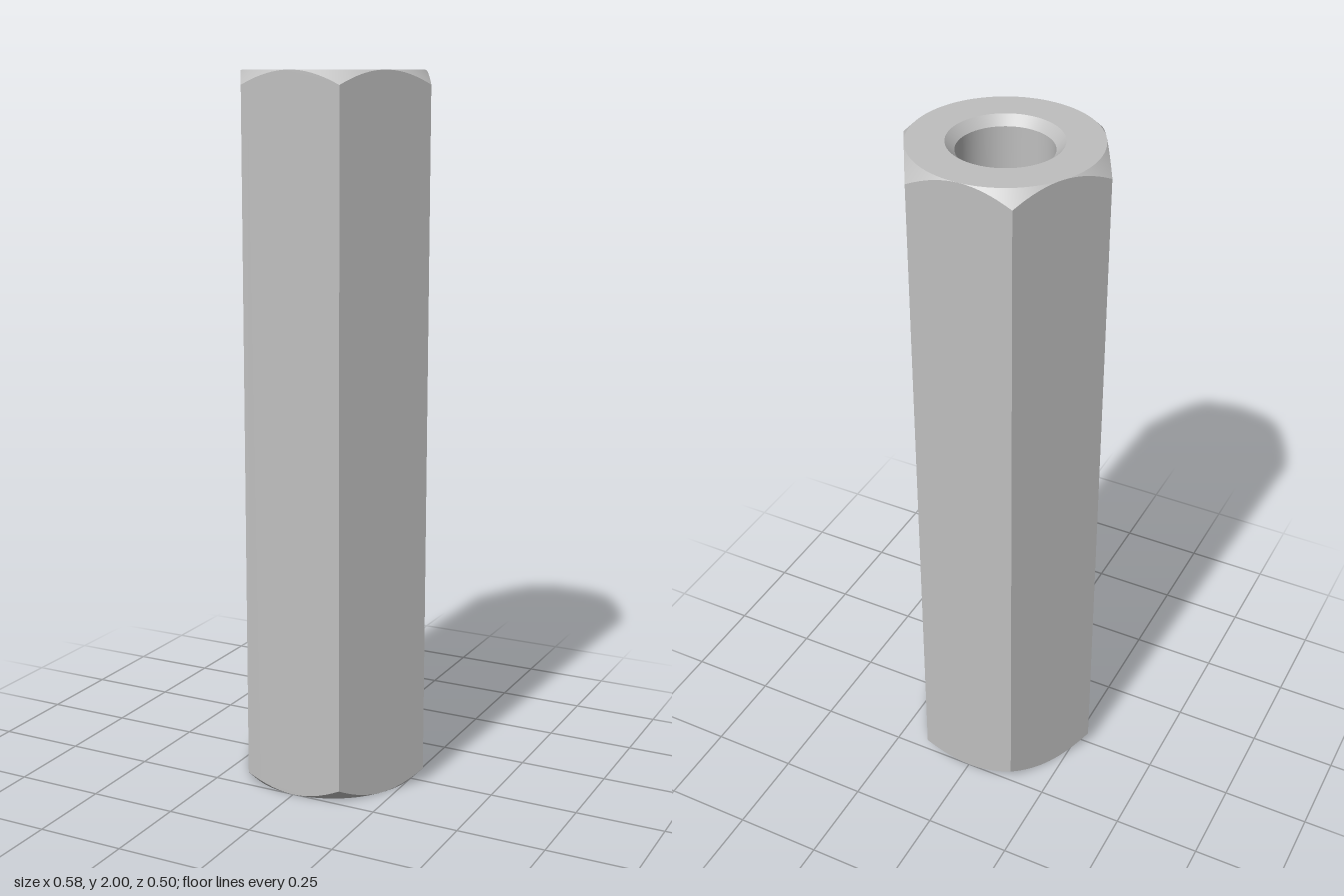
import * as THREE from 'three';

const LENGTH = 2;
const APOTHEM = 0.25;      // half the width across the flats
const BORE = 0.126;
const COUNTERSINK = 0.15;
const STEPS = 16;          // divisions along each of the six sides
const MID = LENGTH / 2;

// Angle across one side, from -30 to +30 degrees
const sideAngle = (i) => (i / STEPS - 0.5) * Math.PI / 3;
const flatX = (a) => APOTHEM * Math.tan(a);
// Height above the middle where the 45 degree chamfer cone meets the flat
const edgeY = (a) => MID - (APOTHEM / Math.cos(a) - APOTHEM);

// Flat side with curved top and bottom edges, facing +z
function flatGeometry() {
  const points = [];
  for (let i = 0; i <= STEPS; i++) points.push(new THREE.Vector2(flatX(sideAngle(i)), -edgeY(sideAngle(i))));
  for (let i = STEPS; i >= 0; i--) points.push(new THREE.Vector2(flatX(sideAngle(i)), edgeY(sideAngle(i))));
  return new THREE.ShapeGeometry(new THREE.Shape(points)).translate(0, 0, APOTHEM);
}

// Piece of the chamfer cone between the end circle and one flat
function chamferGeometry() {
  const geometry = new THREE.PlaneGeometry(1, 1, STEPS, 1);
  const position = geometry.attributes.position;
  const normal = geometry.attributes.normal;
  for (let i = 0; i <= STEPS; i++) {
    const a = sideAngle(i);
    const lower = i + STEPS + 1;
    position.setXYZ(i, APOTHEM * Math.sin(a), MID, APOTHEM * Math.cos(a));
    position.setXYZ(lower, flatX(a), edgeY(a), APOTHEM);
    for (const v of [i, lower]) {
      normal.setXYZ(v, Math.sin(a) * Math.SQRT1_2, Math.SQRT1_2, Math.cos(a) * Math.SQRT1_2);
    }
  }
  return geometry;
}

export function createModel() {
  const group = new THREE.Group();
  const metal = new THREE.MeshStandardMaterial({ color: 0xbfbfbf });
  metal.name = 'grey metal';

  const add = (name, geometry) => {
    const mesh = new THREE.Mesh(geometry, metal);
    mesh.name = name;
    group.add(mesh);
    return mesh;
  };

  // Six flats, each with a chamfer at both ends
  const flat = flatGeometry();
  const topChamfer = chamferGeometry();
  const bottomChamfer = topChamfer.clone().rotateZ(Math.PI);
  const pieces = [['flat', flat], ['topChamfer', topChamfer], ['bottomChamfer', bottomChamfer]];
  for (let k = 0; k < 6; k++) {
    for (const [name, geometry] of pieces) {
      const mesh = add(name + (k + 1), geometry);
      mesh.position.y = MID;
      mesh.rotation.y = k * Math.PI / 3;
    }
  }

  // End faces, countersinks and through bore, one sharp-edged band each
  const sink = COUNTERSINK - BORE;
  const profile = [
    [APOTHEM, LENGTH], [COUNTERSINK, LENGTH], [BORE, LENGTH - sink],
    [BORE, sink], [COUNTERSINK, 0], [APOTHEM, 0],
  ].map(([r, y]) => new THREE.Vector2(r, y));
  ['topFace', 'topCountersink', 'bore', 'bottomCountersink', 'bottomFace'].forEach((name, i) => {
    add(name, new THREE.LatheGeometry([profile[i], profile[i + 1]], 6 * STEPS));
  });

  return group;
}
